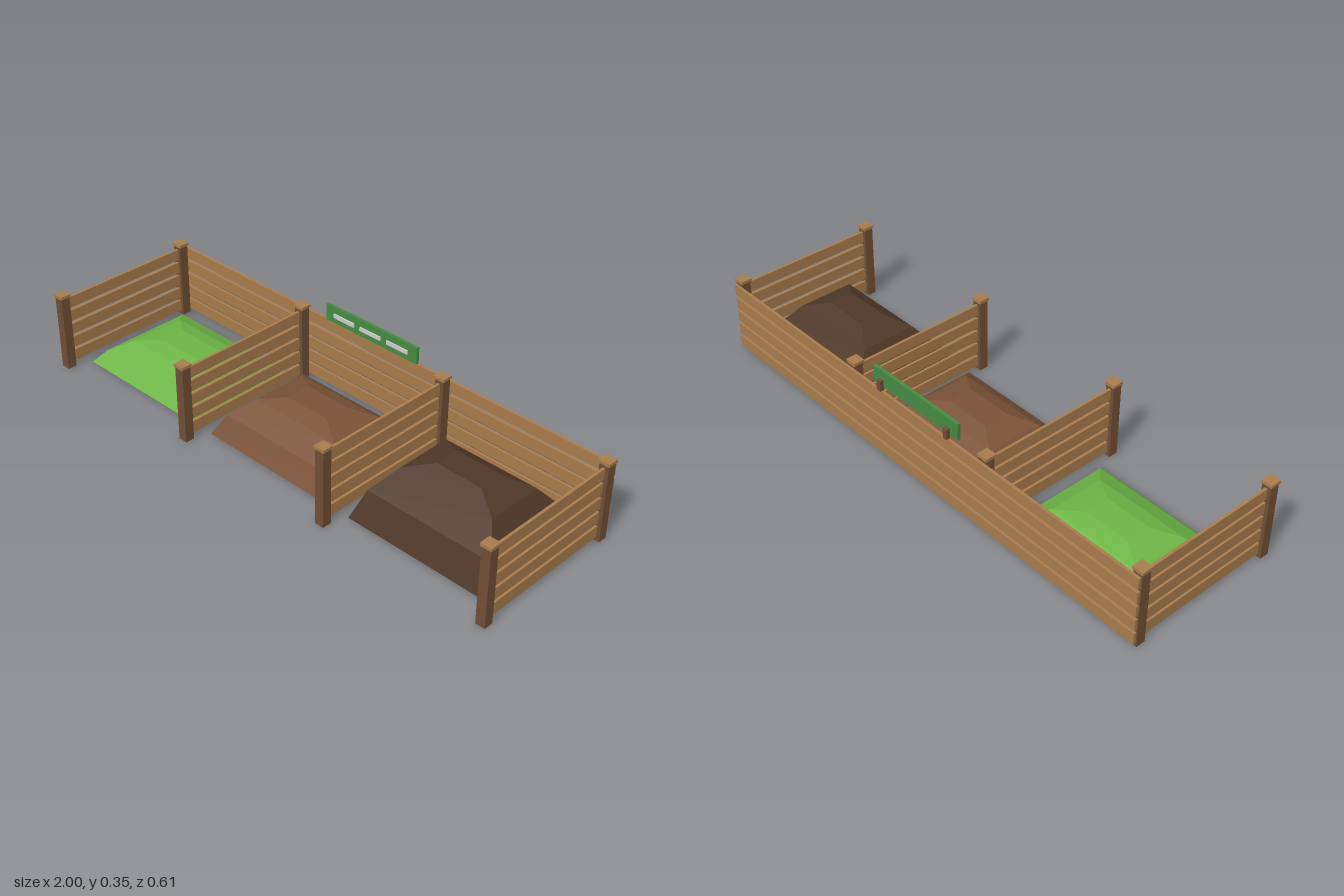
import * as THREE from 'three';

const mat = (name, color) => {
  const m = new THREE.MeshStandardMaterial({ color });
  m.name = name;
  return m;
};

// Stepped mound: rectangular rings that narrow towards a flat top
function moundGeometry(halfX, halfZ, height) {
  const rings = [[1, 1, 0], [0.87, 0.8, 0.47], [0.63, 0.47, 0.85], [0.31, 0.21, 1]];
  const corners = [[1, 1], [1, -1], [-1, -1], [-1, 1]];
  const positions = [];
  const index = [];
  for (const [fx, fz, fy] of rings)
    for (const [cx, cz] of corners) positions.push(cx * fx * halfX, fy * height, cz * fz * halfZ);
  const quad = (a, b, c, d) => index.push(a, b, c, a, c, d);
  for (let r = 0; r < rings.length - 1; r++)
    for (let i = 0; i < 4; i++) {
      const j = (i + 1) % 4;
      quad(r * 4 + i, r * 4 + j, r * 4 + 4 + j, r * 4 + 4 + i);
    }
  const t = (rings.length - 1) * 4;
  quad(t, t + 1, t + 2, t + 3);
  quad(3, 2, 1, 0);
  const g = new THREE.BufferGeometry();
  g.setAttribute('position', new THREE.Float32BufferAttribute(positions, 3));
  g.setIndex(index);
  const flat = g.toNonIndexed();
  flat.computeVertexNormals();
  return flat;
}

export function createModel() {
  const model = new THREE.Group();
  model.name = 'compostBays';

  const slatWood = mat('slat wood', 0xa87c4c);
  const postWood = mat('post wood', 0x704e35);
  const signGreen = mat('sign green', 0x468a42);
  const labelGrey = mat('label grey', 0xcccccc);
  const grass = mat('fresh cuttings', 0x6db545);
  const brown = mat('half rotted compost', 0x7a5238);
  const dark = mat('finished compost', 0x4e3727);

  const add = (parent, name, geometry, material, x, y, z) => {
    const mesh = new THREE.Mesh(geometry, material);
    mesh.name = name;
    mesh.position.set(x, y, z);
    parent.add(mesh);
    return mesh;
  };
  const group = (name) => {
    const g = new THREE.Group();
    g.name = name;
    model.add(g);
    return g;
  };

  const frontZ = 0.282, backZ = -0.271;
  const dividerXs = [-0.979, -0.326, 0.326, 0.979];
  const slatYs = [0, 1, 2, 3, 4].map((i) => 0.0365 + i * 0.0548);

  // Posts with caps, and the slatted side panels between them
  const postGeo = new THREE.BoxGeometry(0.035, 0.289, 0.035);
  const capGeo = new THREE.BoxGeometry(0.042, 0.011, 0.042);
  const sideSlatGeo = new THREE.BoxGeometry(0.01, 0.043, frontZ - backZ - 0.03);
  for (const x of dividerXs) {
    const divider = group('divider');
    for (const z of [frontZ, backZ]) {
      add(divider, 'post', postGeo, postWood, x, 0.1445, z);
      add(divider, 'postCap', capGeo, slatWood, x, 0.2945, z);
    }
    for (const y of slatYs) add(divider, 'sideSlat', sideSlatGeo, slatWood, x, y, (frontZ + backZ) / 2);
  }

  // Back wall
  const back = group('backWall');
  const backSlatGeo = new THREE.BoxGeometry(1.985, 0.043, 0.0105);
  for (const y of slatYs) add(back, 'backSlat', backSlatGeo, slatWood, 0, y, -0.294);

  // Sign board with brackets and blank labels
  const sign = group('sign');
  add(sign, 'signBoard', new THREE.BoxGeometry(0.416, 0.062, 0.012), signGreen, 0, 0.319, -0.28);
  for (const x of [-0.165, 0.165])
    add(sign, 'signBracket', new THREE.BoxGeometry(0.018, 0.039, 0.015), postWood, x, 0.2965, -0.2945);
  for (const x of [-0.123, 0, 0.123])
    add(sign, 'signLabel', new THREE.BoxGeometry(0.095, 0.015, 0.005), labelGrey, x, 0.318, -0.2715);

  // Mounds, one per bay
  const mounds = [['freshMound', 0.1, grass], ['middleMound', 0.16, brown], ['finishedMound', 0.225, dark]];
  mounds.forEach(([name, height, material], i) => {
    add(model, name, moundGeometry(0.288, 0.226, height), material, (i - 1) * 0.652, 0, -0.02);
  });

  return model;
}
